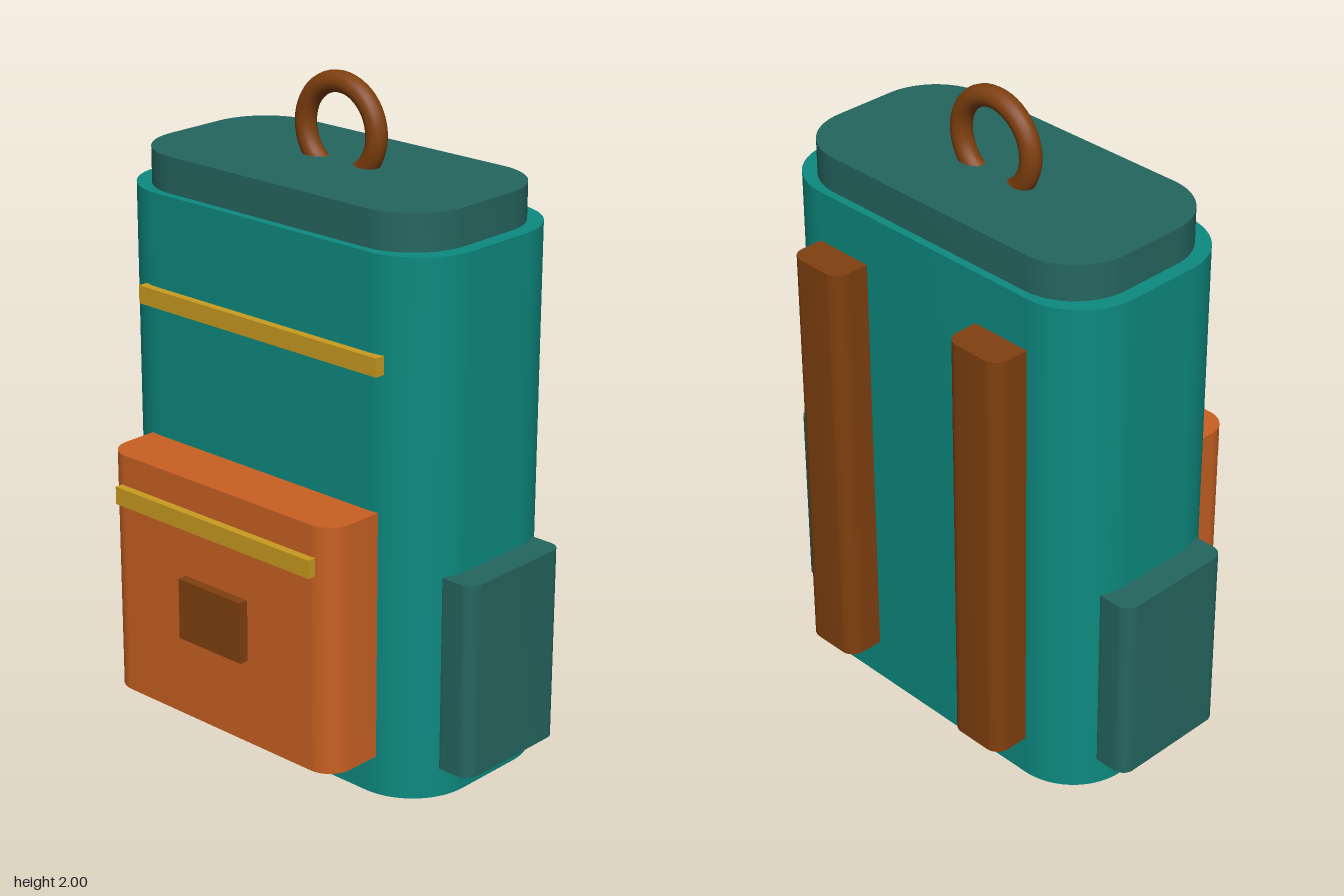
import * as THREE from 'three';
import { toCreasedNormals } from 'three/addons/utils/BufferGeometryUtils.js';

function material(name, color) {
  const m = new THREE.MeshStandardMaterial({ color });
  m.name = name;
  return m;
}

// Upright block whose footprint is a rounded rectangle
function roundedBlock(x0, x1, y0, y1, z0, z1, r) {
  const w = (x1 - x0) / 2, d = (z1 - z0) / 2;
  const s = new THREE.Shape();
  s.moveTo(w, -d + r);
  s.absarc(w - r, d - r, r, 0, Math.PI / 2);
  s.absarc(-w + r, d - r, r, Math.PI / 2, Math.PI);
  s.absarc(-w + r, -d + r, r, Math.PI, Math.PI * 1.5);
  s.absarc(w - r, -d + r, r, Math.PI * 1.5, Math.PI * 2);
  const g = new THREE.ExtrudeGeometry(s, { depth: y1 - y0, bevelEnabled: false, curveSegments: 10 });
  g.rotateX(-Math.PI / 2);
  g.translate((x0 + x1) / 2, y0, (z0 + z1) / 2);
  return toCreasedNormals(g, 0.6);
}

function box(x0, x1, y0, y1, z0, z1) {
  return new THREE.BoxGeometry(x1 - x0, y1 - y0, z1 - z0)
    .translate((x0 + x1) / 2, (y0 + y1) / 2, (z0 + z1) / 2);
}

export function createModel() {
  const teal = material('teal fabric', 0x0d8a80);
  const darkTeal = material('dark teal fabric', 0x256660);
  const orange = material('orange fabric', 0xc96122);
  const brown = material('brown leather', 0x80400f);
  const gold = material('gold zip', 0xc99b20);

  const model = new THREE.Group();
  model.name = 'backpack';
  const add = (name, geometry, mat) => {
    const mesh = new THREE.Mesh(geometry, mat);
    mesh.name = name;
    model.add(mesh);
    return mesh;
  };

  // Main bag and lid
  add('body', roundedBlock(-0.615, 0.615, 0, 1.63, -0.365, 0.265, 0.2), teal);
  add('lid', roundedBlock(-0.57, 0.57, 1.62, 1.74, -0.34, 0.24, 0.19), darkTeal);

  // Carry loop, sunk into the lid
  add('carryLoop', new THREE.TorusGeometry(0.137, 0.032, 16, 48), brown)
    .position.set(0, 1.831, -0.073);

  // Front pocket with buckle and zips
  add('frontPocket', roundedBlock(-0.453, 0.453, 0.12, 0.88, 0.15, 0.45, 0.08), orange);
  add('buckle', box(-0.125, 0.125, 0.383, 0.573, 0.43, 0.48), brown);
  add('pocketZip', box(-0.39, 0.39, 0.73, 0.785, 0.43, 0.475), gold);
  add('bodyZip', box(-0.468, 0.468, 1.29, 1.345, 0.245, 0.29), gold);

  // Side pockets and back straps
  for (const [side, s] of [['left', 1], ['right', -1]]) {
    const span = (a, b) => (s > 0 ? [a, b] : [-b, -a]);
    add(side + 'SidePocket', roundedBlock(...span(0.565, 0.705), 0.09, 0.69, -0.25, 0.15, 0.04), darkTeal);
    add(side + 'Strap', roundedBlock(...span(0.22, 0.417), 0.13, 1.47, -0.48, -0.32, 0.045), brown);
  }
  return model;
}
